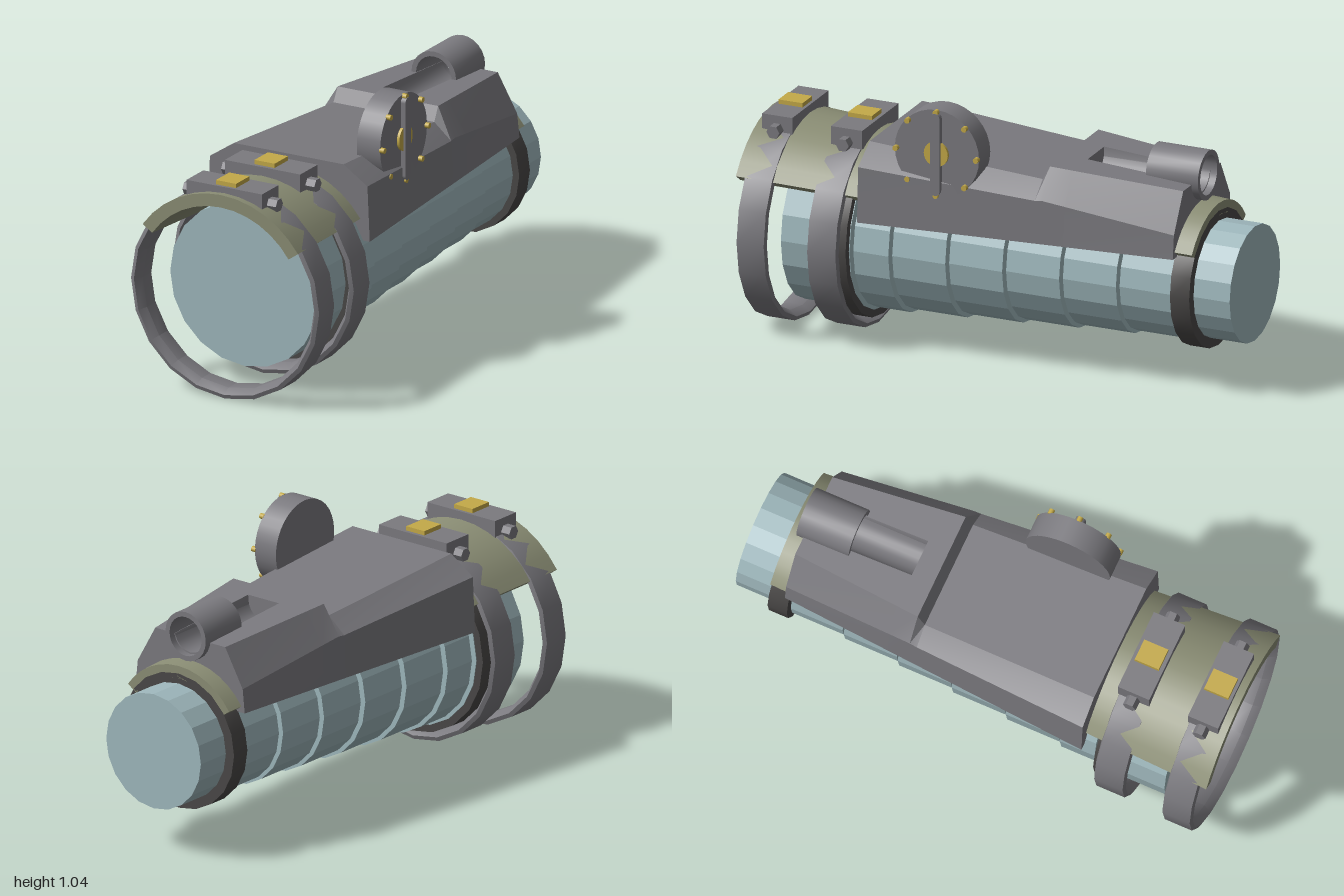
import * as THREE from 'three';
import { toCreasedNormals } from 'three/addons/utils/BufferGeometryUtils.js';

const AXIS = 0.415; // height of the barrel axis
const SIDES = 20;

const mat = (name, color) => {
  const m = new THREE.MeshStandardMaterial({ color });
  m.name = name;
  return m;
};
const lerp = (a, b, t) => a + (b - a) * t;

// Joins outlines (counter-clockwise from the front), ordered front to back, into a solid
function loft(sections) {
  const n = sections[0].pts.length;
  const pos = [], idx = [];
  for (const s of sections) for (const [x, y] of s.pts) pos.push(x, y, s.z);
  for (let s = 0; s < sections.length - 1; s++) {
    for (let i = 0; i < n; i++) {
      const a = s * n + i, b = s * n + (i + 1) % n;
      idx.push(a, a + n, b + n, a, b + n, b);
    }
  }
  const cap = (k, flip) => {
    const pts = sections[k].pts.map(([x, y]) => new THREE.Vector2(x, y));
    for (const [a, b, c] of THREE.ShapeUtils.triangulateShape(pts, [])) {
      const o = k * n;
      if (flip) idx.push(o + a, o + c, o + b);
      else idx.push(o + a, o + b, o + c);
    }
  };
  cap(0, false);
  cap(sections.length - 1, true);
  const g = new THREE.BufferGeometry();
  g.setAttribute('position', new THREE.Float32BufferAttribute(pos, 3));
  g.setIndex(idx);
  return toCreasedNormals(g, 0.35);
}

// Band of revolution about z from a closed [radius, z] profile
function band(profile, sides = SIDES) {
  const pts = [...profile, profile[0]].map(([r, z]) => new THREE.Vector2(r, z));
  return toCreasedNormals(new THREE.LatheGeometry(pts, sides).rotateX(Math.PI / 2), 0.6);
}

// Outer radius of the cover shell along the barrel
const shellR = z => lerp(0.415, 0.3, (1 - z) / 1.85);

function shellSection(z) {
  const pts = [], r = shellR(z), a0 = Math.PI * 35 / 180, a1 = Math.PI - a0, n = 12;
  for (let i = 0; i <= n; i++) {
    const a = lerp(a0, a1, i / n);
    pts.push([r * Math.cos(a), AXIS + r * Math.sin(a)]);
  }
  for (let i = n; i >= 0; i--) {
    const a = lerp(a0, a1, i / n);
    pts.push([(r - 0.05) * Math.cos(a), AXIS + (r - 0.05) * Math.sin(a)]);
  }
  return { z, pts };
}

// Housing outline: chamfered roof, arched underside, optional rounded trough on top
function housingSection(z, raised, trough) {
  const t = (0.49 - z) / 1.27;
  const w = lerp(0.355, 0.265, t), b = lerp(0.55, 0.565, t);
  const f = (0.49 - z) / 0.74, k = (-0.25 - z) / 0.53;
  const c = raised ? lerp(0.73, 0.66, k) : lerp(0.77, 0.725, f);
  const top = raised ? lerp(0.845, 0.81, k) : lerp(0.84, 0.788, f);
  const tx = raised ? lerp(0.22, 0.17, k) : lerp(0.24, 0.22, f);
  const pts = [[w, b], [w - 0.01, c], [tx, top]];
  if (trough) {
    for (let i = 0; i <= 10; i++) {
      const a = -Math.PI * i / 10, end = i === 0 || i === 10;
      pts.push([0.075 * Math.cos(a), end ? top : Math.min(top - 0.002, 0.825 + 0.075 * Math.sin(a))]);
    }
  }
  pts.push([-tx, top], [-w + 0.01, c], [-w, b]);
  const r = shellR(z) - 0.03, a = Math.asin((b - AXIS) / r);
  for (let i = 0; i <= 12; i++) {
    const q = lerp(Math.PI - a, a, i / 12);
    pts.push([r * Math.cos(q), AXIS + r * Math.sin(q)]);
  }
  return { z, pts };
}

export function createModel() {
  const root = new THREE.Group();
  root.name = 'scopeAssembly';
  const blue = mat('paleBlue', 0x9fb8bd);
  const grey = mat('metalGrey', 0x7b7a7f);
  const olive = mat('oliveGrey', 0x8b8e75);
  const dark = mat('darkRubber', 0x4a4847);
  const gold = mat('brass', 0xc4aa48);

  const add = (name, geo, material, x = 0, y = 0, z = 0, parent = root) => {
    const m = new THREE.Mesh(geo, material);
    m.name = name;
    m.position.set(x, y, z);
    parent.add(m);
    return m;
  };

  // Stepped barrel: flat-sided drums with narrow gaps
  const drums = [
    [0.82, 0.535, 0.325], [0.525, 0.38, 0.312], [0.37, 0.15, 0.298], [0.14, -0.08, 0.284],
    [-0.09, -0.31, 0.27], [-0.32, -0.54, 0.257], [-0.55, -0.765, 0.245], [-0.77, -1, 0.23],
  ];
  for (const [z0, z1, r] of drums) {
    const g = new THREE.CylinderGeometry(r, r, z0 - z1, SIDES).rotateX(Math.PI / 2).toNonIndexed();
    g.computeVertexNormals();
    add('barrelDrum', g, blue, 0, AXIS, (z0 + z1) / 2);
  }

  // Dark seals near both ends
  const seal = (name, r, inner, z, h) =>
    add(name, band([[r, -h], [r, h], [inner, h], [inner, -h]]), dark, 0, AXIS, z);
  seal('frontSeal', 0.355, 0.315, 0.578, 0.04);
  seal('rearSeal', 0.27, 0.225, -0.81, 0.04);

  // Cover shell along the top of the barrel
  add('coverShell', loft([shellSection(1), shellSection(-0.85)]), olive);

  // Clamp rings with lug, bolts and brass plate
  for (const [name, z, h, r, top] of [['frontClamp', 0.908, 0.0625, 0.412, 0.852], ['rearClamp', 0.62, 0.065, 0.396, 0.845]]) {
    const clamp = new THREE.Group();
    clamp.name = name;
    clamp.position.z = z;
    root.add(clamp);
    const profile = [[r - 0.016, -h], [r, -h * 0.9], [r, h * 0.9], [r - 0.016, h], [r - 0.037, h * 0.5], [r - 0.037, -h * 0.5]];
    add('clampRing', band(profile), grey, 0, AXIS, 0, clamp);
    add('clampLug', new THREE.BoxGeometry(0.33, 0.075, h * 2), grey, 0, top - 0.0375, 0, clamp);
    add('clampPlate', new THREE.BoxGeometry(0.088, 0.018, 0.1), gold, 0, top + 0.008, 0, clamp);
    for (const s of [-1, 1]) {
      const hex = new THREE.CylinderGeometry(0.027, 0.027, 0.045, 6).rotateZ(Math.PI / 2).toNonIndexed();
      hex.computeVertexNormals();
      add('clampBolt', hex, grey, s * 0.182, top - 0.055, 0, clamp);
    }
  }

  // Housing: sloping front, raised step, and rear with trough
  add('housingFront', loft([housingSection(0.49), housingSection(-0.22)]), grey);
  add('housingStep', loft([housingSection(-0.22), housingSection(-0.25, true), housingSection(-0.34, true)]), grey);
  add('housingRear', loft([housingSection(-0.34, true, true), housingSection(-0.78, true, true)]), grey);

  // Open sight tube in line with the trough
  add('sightTube', band([[0.098, -0.108], [0.098, 0.108], [0.078, 0.108], [0.078, -0.108]], 24), grey, 0, 0.822, -0.7);

  // Side dial with crossbar, hub and rim studs
  const dial = new THREE.Group();
  dial.name = 'sideDial';
  dial.position.set(0, 0.865, 0.175);
  root.add(dial);
  const disc = (r, h, n = 24) => new THREE.CylinderGeometry(r, r, h, n).rotateZ(Math.PI / 2);
  add('dialDrum', disc(0.175, 0.102, 32), grey, 0.267, 0, 0, dial);
  add('dialHub', disc(0.05, 0.012), gold, 0.323, 0, 0, dial);
  add('dialBar', new THREE.BoxGeometry(0.02, 0.29, 0.04), grey, 0.328, 0, 0, dial);
  for (const s of [-1, 1]) add('dialBarEnd', disc(0.02, 0.02, 16), grey, 0.328, s * 0.145, 0, dial);
  for (let i = 0; i < 8; i++) {
    const a = i * Math.PI / 4;
    add('dialStud', disc(0.011, 0.02, 10), gold, 0.325, 0.167 * Math.cos(a), 0.167 * Math.sin(a), dial);
  }
  return root;
}
